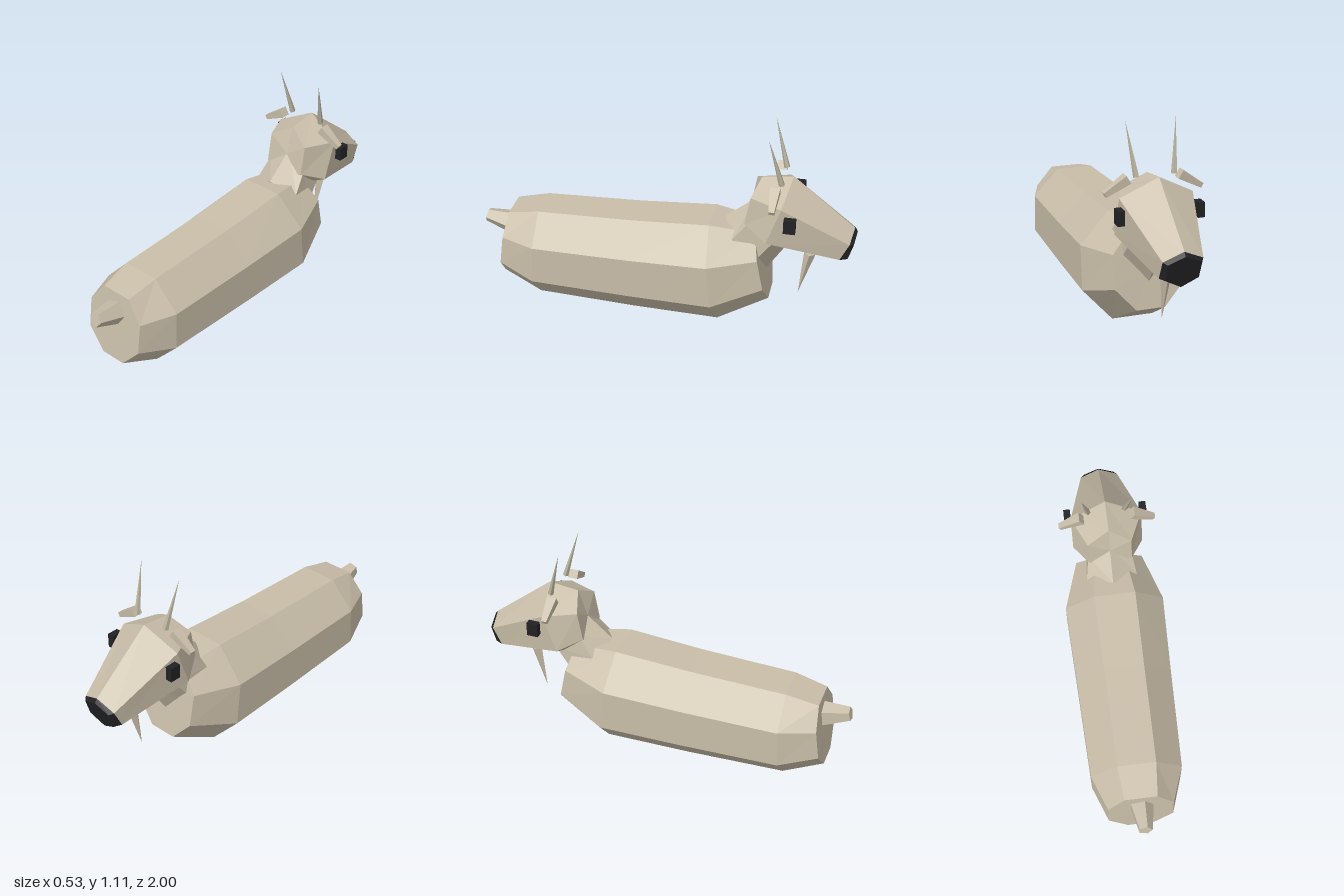
import * as THREE from 'three';

const paint = (color) => new THREE.MeshStandardMaterial({ color, flatShading: true });
const V = (x, y, z) => new THREE.Vector3(x, y, z);

// Full ring from its +x half, listed bottom to top
function mirrorRing(half) {
  const left = half.map((p) => V(...p));
  const right = half.filter((p) => p[0] > 0).reverse().map(([x, y, z]) => V(-x, y, z));
  return [...left, ...right];
}

// Closed skin over rings that run from +z towards -z
function loft(rings) {
  const out = [];
  const tri = (...pts) => pts.forEach((p) => out.push(p.x, p.y, p.z));
  const n = rings[0].length;
  const middle = (ring) => ring.reduce((s, p) => s.add(p), V(0, 0, 0)).divideScalar(n);
  const first = rings[0], last = rings[rings.length - 1];
  const c0 = middle(first), c1 = middle(last);
  for (let j = 0; j < n; j++) {
    const k = (j + 1) % n;
    for (let i = 0; i < rings.length - 1; i++) {
      const a = rings[i], b = rings[i + 1];
      tri(a[j], b[j], b[k]);
      tri(a[j], b[k], a[k]);
    }
    tri(c0, first[j], first[k]);
    tri(c1, last[k], last[j]);
  }
  const geo = new THREE.BufferGeometry();
  geo.setAttribute('position', new THREE.Float32BufferAttribute(out, 3));
  geo.computeVertexNormals();
  return geo;
}

// Pointed cone from a base centre to a tip
function spike(base, tip, radius, sides) {
  const dir = tip.clone().sub(base);
  const len = dir.length();
  const geo = new THREE.ConeGeometry(radius, len, sides);
  geo.translate(0, len / 2, 0);
  geo.applyQuaternion(new THREE.Quaternion().setFromUnitVectors(V(0, 1, 0), dir.normalize()));
  geo.translate(base.x, base.y, base.z);
  return geo;
}

export function createModel() {
  const group = new THREE.Group();
  const fur = paint(0xc8bda8), horn = paint(0xb8b29c), black = paint(0x222226);
  const add = (name, geo, mat) => {
    const mesh = new THREE.Mesh(geo, mat);
    mesh.name = name;
    group.add(mesh);
  };

  // Eight-sided body, rump to chest
  add('body', loft([
    [[0.07, 0.11, 0.89], [0.17, 0.22, 0.877], [0.17, 0.38, 0.855], [0.085, 0.49, 0.84]],
    [[0.1, 0.02, 0.68], [0.238, 0.17, 0.68], [0.238, 0.378, 0.67], [0.1, 0.525, 0.67]],
    [[0.105, 0.003, 0.15], [0.252, 0.165, 0.15], [0.252, 0.387, 0.15], [0.105, 0.543, 0.15]],
    [[0.11, 0, -0.305], [0.265, 0.17, -0.29], [0.265, 0.405, -0.265], [0.11, 0.57, -0.25]],
    [[0.075, 0.145, -0.57], [0.18, 0.26, -0.55], [0.18, 0.43, -0.515], [0.08, 0.54, -0.485]],
  ].map(mirrorRing)), fur);

  // Five-sided tail stub
  const tailRing = (x, y, z, r, tilt) => Array.from({ length: 5 }, (_, i) => {
    const a = (i / 5) * Math.PI * 2, dy = Math.sin(a) * r;
    return V(x + Math.cos(a) * r, y + dy, z - dy * tilt);
  });
  add('tail', loft([tailRing(0.005, 0.412, 0.99, 0.037, 0.25), tailRing(0, 0.38, 0.84, 0.068, 0.25)]), fur);

  // Six-sided neck, sunk into body and head
  add('neck', loft([
    [[0, 0.28, -0.54], [0.13, 0.38, -0.48], [0.135, 0.515, -0.375], [0, 0.57, -0.315]],
    [[0, 0.42, -0.63], [0.115, 0.52, -0.59], [0.115, 0.62, -0.46], [0, 0.7, -0.47]],
  ].map(mirrorRing)), fur);

  // Six-sided head, skull to muzzle, then the dark nose
  const muzzle = [[0, 0.4, -0.9], [0.1, 0.45, -0.925], [0.1, 0.545, -0.97], [0, 0.59, -0.985]];
  add('head', loft([
    [[0, 0.54, -0.42], [0.115, 0.607, -0.433], [0.115, 0.762, -0.46], [0, 0.83, -0.5]],
    [[0, 0.455, -0.53], [0.187, 0.55, -0.555], [0.187, 0.753, -0.625], [0, 0.85, -0.66]],
    muzzle,
  ].map(mirrorRing)), fur);
  add('nose', loft([
    muzzle,
    [[0, 0.405, -0.95], [0.082, 0.45, -0.965], [0.082, 0.535, -0.99], [0, 0.57, -1]],
  ].map(mirrorRing)), black);

  // Tuft under the chin
  add('beard', spike(V(0, 0.405, -0.765), V(0, 0.155, -0.715), 0.03, 4), fur);

  for (const [side, s] of [['left', 1], ['right', -1]]) {
    const eye = new THREE.BoxGeometry(0.035, 0.075, 0.06);
    eye.translate(s * 0.202, 0.678, -0.673);
    add(side + 'Eye', eye, black);

    add(side + 'Horn', spike(V(s * 0.096, 0.845, -0.612), V(s * 0.128, 1.108, -0.54), 0.016, 5), horn);

    // Ear: a box tapered towards its drooping tip
    const ear = new THREE.BoxGeometry(0.135, 0.047, 0.052);
    const p = ear.attributes.position;
    for (let i = 0; i < p.count; i++) {
      if (p.getX(i) * s > 0) p.setXYZ(i, p.getX(i), p.getY(i) * 0.53, p.getZ(i) * 0.55);
    }
    ear.rotateZ(-s * 0.545);
    ear.translate(s * 0.19, 0.8, -0.585);
    add(side + 'Ear', ear, fur);
  }
  return group;
}
